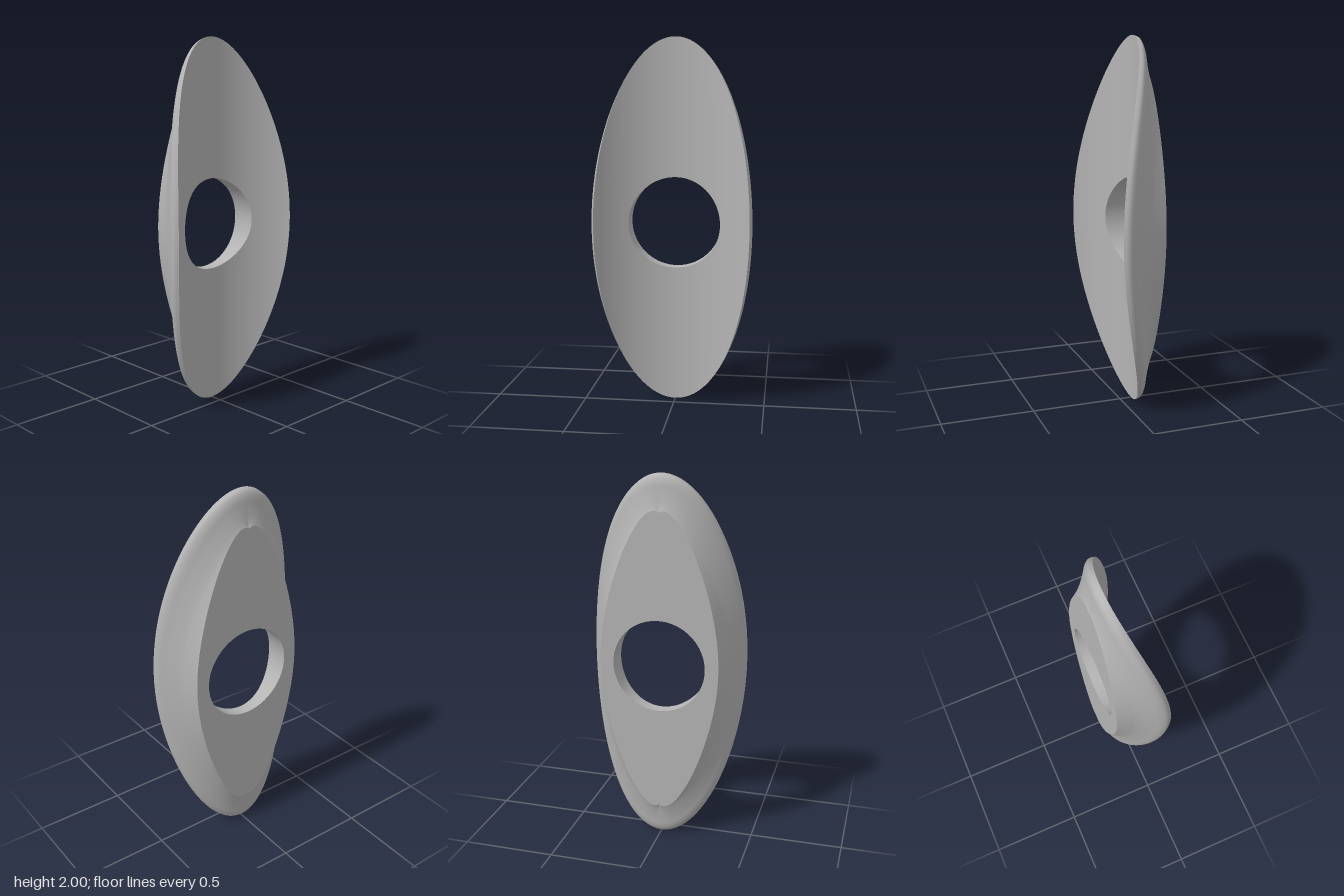
import * as THREE from 'three';

const N = 192;          // steps around the rim
const R = 0.53;         // radius of the hollow front surface
const HALF_W = 0.415;   // rim ellipse half width (half height is 1)
const HOLE = 0.25;
const FRONT = -0.067;   // front surface depth at x = 0
const BACK = -0.135;    // flat back plane

const frontZ = (x) => FRONT + R - Math.sqrt(R * R - x * x);

// Rim section: x = distance inward along the front surface, y = depth behind it
const section = new THREE.SplineCurve([
  [0, 0], [0.01, 0.025], [0.04, 0.04], [0.09, 0.047], [0.16, 0.058],
  [0.2, 0.07], [0.266, 0.094], [0.33, 0.12],
].map(([x, y]) => new THREE.Vector2(x, y)));

// Skin between closed loops of points
function skin(name, rows, material) {
  const pos = [];
  const index = [];
  rows.forEach((row) => row.forEach((p) => pos.push(p.x, p.y, p.z)));
  for (let j = 0; j < rows.length - 1; j++) {
    for (let i = 0; i < N; i++) {
      const k = (i + 1) % N;
      const a = j * N + i, b = j * N + k, c = a + N, d = b + N;
      index.push(a, b, c, b, d, c);
    }
  }
  const g = new THREE.BufferGeometry();
  g.setAttribute('position', new THREE.Float32BufferAttribute(pos, 3));
  g.setIndex(index);
  g.computeVertexNormals();
  const mesh = new THREE.Mesh(g, material);
  mesh.name = name;
  return mesh;
}

const loop = (fn) => Array.from({ length: N }, (_, i) => fn((i / N) * Math.PI * 2, i));
const steps = (n, fn) => Array.from({ length: n + 1 }, (_, j) => fn(j / n));

// Section swept at rim angle a, cut at the back plane or the centre line
function rimRay(a) {
  const c = Math.cos(a), s = Math.sin(a);
  const x = HALF_W * c;
  const sin = x / R, cos = Math.sqrt(1 - sin * sin);
  const start = new THREE.Vector3(x, s, frontZ(x));
  const behind = new THREE.Vector3(sin, 0, -cos);
  const along = new THREE.Vector3(-HALF_W * s, c, (-HALF_W * s * sin) / cos).normalize();
  const inward = along.cross(behind).normalize();
  const at = (u) => {
    const p = section.getPoint(u);
    return start.clone().addScaledVector(inward, p.x).addScaledVector(behind, p.y);
  };
  const past = (p) => p.z < BACK || (Math.abs(c) > 1e-6 && p.x * c < 0);
  let lo = 0, hi = 1;
  for (let k = 0; k < 30; k++) {
    const mid = (lo + hi) / 2;
    if (past(at(mid))) hi = mid; else lo = mid;
  }
  return steps(28, (t) => at(lo * t));
}

export function createModel() {
  const group = new THREE.Group();
  group.name = 'curvedOvalPlate';
  const grey = new THREE.MeshStandardMaterial({ color: 0xb4b4b4 });
  grey.name = 'grey';

  const holeLoop = (zOf) => loop((a) => {
    const x = HOLE * Math.cos(a);
    return new THREE.Vector3(x, 1 + HOLE * Math.sin(a), zOf(x));
  });

  // Hollow front face, rim to hole
  const front = steps(20, (t) => loop((a) => {
    const x = THREE.MathUtils.lerp(HALF_W, HOLE, t) * Math.cos(a);
    const y = 1 + THREE.MathUtils.lerp(1, HOLE, t) * Math.sin(a);
    return new THREE.Vector3(x, y, frontZ(x));
  }));
  group.add(skin('frontFace', front, grey));

  // Rounded rim flaring back to the flat
  const rays = loop((a) => rimRay(a).map((p) => p.setY(p.y + 1)));
  const rim = rays[0].map((_, j) => rays.map((ray) => ray[j])).reverse();
  group.add(skin('rim', rim, grey));

  // Flat back face and the wall of the hole
  group.add(skin('backFace', [holeLoop(() => BACK), rim[0]], grey));
  group.add(skin('holeWall', [holeLoop(frontZ), holeLoop(() => BACK)], grey));
  return group;
}
